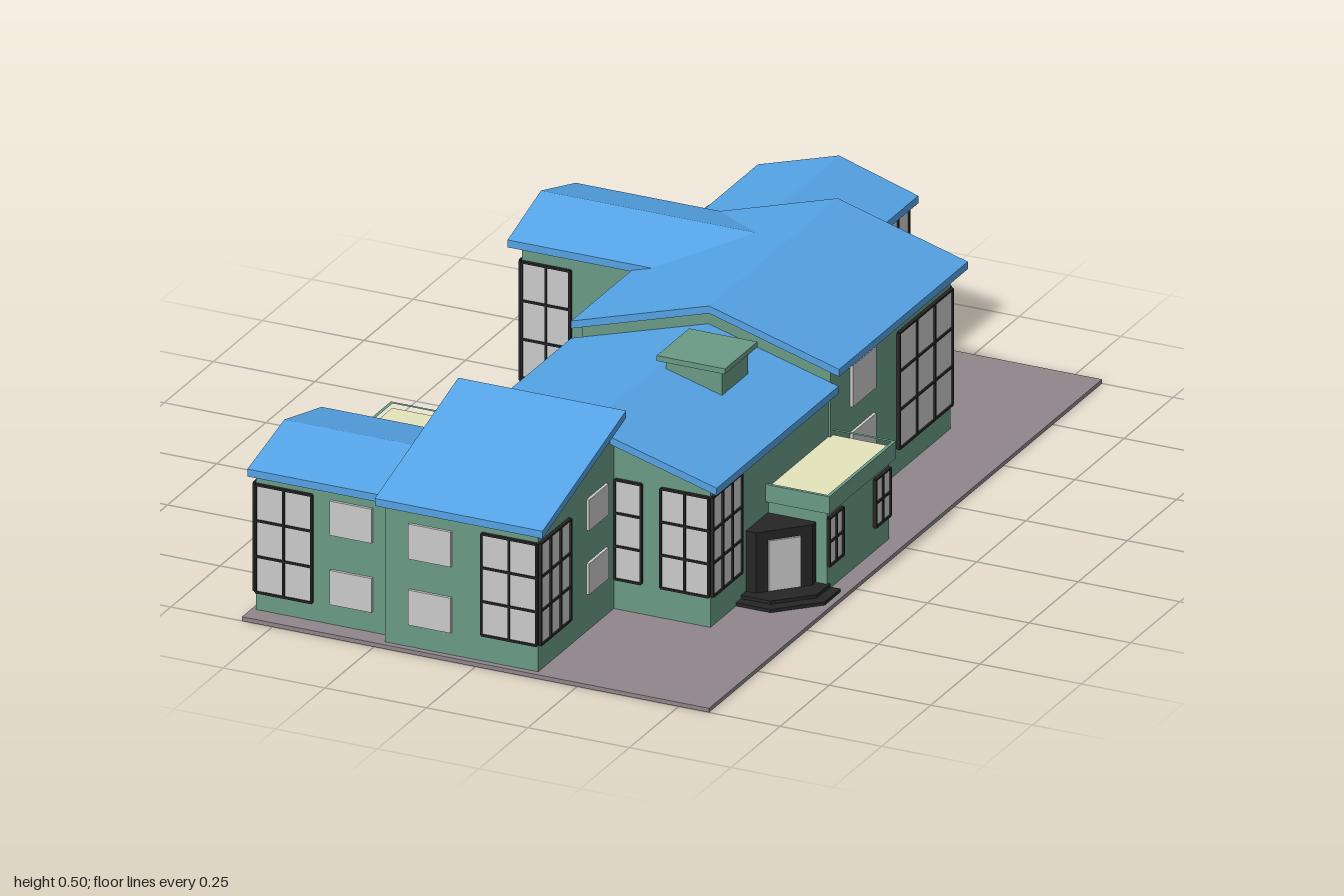
import * as THREE from 'three';

const mat = (color) => new THREE.MeshStandardMaterial({ color, flatShading: true });

export function createModel() {
  const model = new THREE.Group();
  const green = mat(0x6a9a86), blue = mat(0x55a3e6), dark = mat(0x262626);
  const paving = mat(0x8f868c), cream = mat(0xe4e4bc), grey = mat(0xcccccc);

  const add = (name, geometry, material, parent = model) => {
    const mesh = new THREE.Mesh(geometry, material);
    mesh.name = name;
    parent.add(mesh);
    return mesh;
  };
  // Box given by its limits
  const box = (name, x0, x1, y0, y1, z0, z1, material, parent) =>
    add(name, new THREE.BoxGeometry(x1 - x0, y1 - y0, z1 - z0)
      .translate((x0 + x1) / 2, (y0 + y1) / 2, (z0 + z1) / 2), material, parent);

  // Profile of [across, y] points swept along 'z' or 'x'
  const prism = (points, from, to, axis) => {
    const flip = axis === 'x' ? -1 : 1;
    const shape = new THREE.Shape(points.map(([u, y]) => new THREE.Vector2(u * flip, y)));
    const g = new THREE.ExtrudeGeometry(shape, { depth: to - from, bevelEnabled: false });
    g.translate(0, 0, from);
    return axis === 'x' ? g.rotateY(Math.PI / 2) : g;
  };
  // Flat plan of [x, z] points raised from y0 to y1, with an optional opening
  const slab = (name, plan, y0, y1, material, hole, parent) => {
    const path = (pts) => pts.map(([x, z]) => new THREE.Vector2(x, -z));
    const shape = new THREE.Shape(path(plan));
    if (hole) shape.holes.push(new THREE.Path(path(hole)));
    const g = new THREE.ExtrudeGeometry(shape, { depth: y1 - y0, bevelEnabled: false });
    return add(name, g.rotateX(-Math.PI / 2).translate(0, y0, 0), material, parent);
  };
  const rect = (x0, x1, z0, z1) => [[x0, z0], [x1, z0], [x1, z1], [x0, z1]];

  // Block whose walls reach up to the underside of its pitched roof
  const T = 0.018;
  const house = (name, axis, top, from, to, [u0, u1, w0, w1]) => {
    const group = new THREE.Group();
    group.name = name;
    model.add(group);
    const under = (u) => {
      const i = top.length > 2 && u > top[1][0] ? 1 : 0;
      const [a, b] = [top[i], top[i + 1]];
      return a[1] + (b[1] - a[1]) * (u - a[0]) / (b[0] - a[0]) - T;
    };
    const inner = top.slice(1, -1).map(([u]) => u);
    const crown = [u0, ...inner, u1].map((u) => [u, under(u)]);
    add(name + 'Walls', prism([...crown, [u1, 0.01], [u0, 0.01]], w0, w1, axis), green, group);
    const lower = top.map(([u, y]) => [u, y - T]).reverse();
    return add(name + 'Roof', prism([...top, ...lower], from, to, axis), blue, group);
  };

  // Flat-roofed annex with a projecting parapet band
  const annex = (name, [x0, x1, z0, z1], height, roofMaterial) => {
    const group = new THREE.Group();
    group.name = name;
    model.add(group);
    box(name + 'Walls', x0 + 0.012, x1 - 0.012, 0.01, height - 0.02, z0 + 0.012, z1 - 0.012, green, group);
    slab(name + 'Parapet', rect(x0, x1, z0, z1), height - 0.042, height, green,
      rect(x0 + 0.008, x1 - 0.008, z0 + 0.008, z1 - 0.008), group);
    box(name + 'Roof', x0 + 0.006, x1 - 0.006, height - 0.03, height - 0.012, z0 + 0.006, z1 - 0.006, roofMaterial, group);
  };

  // Window on a wall facing +x, -x, +z or -z; a grid gets dark bars
  const turn = { '+z': 0, '+x': Math.PI / 2, '-z': Math.PI, '-x': -Math.PI / 2 };
  const pane = (face, plane, a0, a1, y0, y1, cols = 0, rows = 0) => {
    const group = new THREE.Group();
    group.name = cols ? 'griddedWindow' : 'smallWindow';
    const w = a1 - a0, h = y1 - y0, mid = (a0 + a1) / 2;
    const glass = cols ? 0.004 : 0.007, bar = 0.005;
    box('glass', -w / 2, w / 2, 0, h, -0.004, glass, grey, group);
    for (let i = 0; cols && i <= cols; i++) {
      const x = -w / 2 + (w * i) / cols;
      box('upright', x - bar / 2, x + bar / 2, 0, h, 0, 0.008, dark, group);
    }
    for (let j = 0; rows && j <= rows; j++) {
      const y = (h * j) / rows;
      box('crossbar', -w / 2, w / 2, y - bar / 2, y + bar / 2, 0, 0.008, dark, group);
    }
    group.rotation.y = turn[face];
    if (face[1] === 'z') group.position.set(mid, y0, plane);
    else group.position.set(plane, y0, mid);
    model.add(group);
  };
  // Upper and lower small windows
  const pair = (face, plane, a0, a1, low, high, h) => {
    for (const y of [low, high]) pane(face, plane, a0, a1, y, y + h);
  };

  box('ground', -0.575, 0.575, 0, 0.01, -1, 1, paving);

  // Main blocks
  house('frontBlock', 'x', [[0.575, 0.483], [1, 0.36]], -0.248, 0.165, [0.6, 0.985, -0.23, 0.147]);
  house('frontWing', 'x', [[0.59, 0.355], [0.78, 0.4], [0.968, 0.355]], -0.577, -0.235, [0.61, 0.95, -0.565, -0.22]);
  house('middleBlock', 'z', [[-0.248, 0.35], [0.09, 0.45], [0.41, 0.36]], 0, 0.62, [-0.23, 0.385, 0, 0.6]);
  house('tallBlock', 'z', [[-0.24, 0.4], [0.1, 0.502], [0.42, 0.41]], -0.637, 0.018, [-0.22, 0.39, -0.612, 0]);
  house('rearBlock', 'z', [[-0.27, 0.37], [-0.07, 0.43], [0.125, 0.37]], -0.995, -0.6, [-0.25, 0.107, -0.975, -0.6]);
  const wingRoof = house('rearWing', 'x', [[-0.637, 0.415], [-0.46, 0.467], [-0.29, 0.415]], -0.545, 0,
    [-0.612, -0.312, -0.52, -0.2]);

  // Trim the inner end of the wing roof to the slope it runs into
  const p = wingRoof.geometry.attributes.position;
  for (let i = 0; i < p.count; i++) {
    if (p.getX(i) > -0.1) p.setX(i, 0.11 + (p.getY(i) - 0.502) / 0.3);
  }
  wingRoof.geometry.computeVertexNormals();

  // Annexes
  annex('leftAnnex', [-0.555, -0.225, 0.283, 0.615], 0.25, cream);
  annex('rearAnnex', [-0.39, -0.24, -0.992, -0.6], 0.25, grey);
  annex('porchAnnex', [0.375, 0.542, -0.02, 0.32], 0.245, cream);

  // Roof lantern
  box('lanternBody', 0.107, 0.245, 0.38, 0.468, 0.12, 0.252, green);
  box('lanternCap', 0.092, 0.26, 0.467, 0.48, 0.103, 0.268, green);

  // Corner entrance: steps, angled vestibule and door
  for (let i = 0; i < 2; i++) {
    const s = 0.025 * i;
    slab('entranceStep', [[0.38, 0.3], [0.56 - s, 0.3], [0.56 - s, 0.38 - s / 2], [0.47 - s / 2, 0.47 - s], [0.38, 0.47 - s]],
      0.01 + 0.008 * i, 0.018 + 0.008 * i, dark);
  }
  slab('vestibule', [[0.38, 0.3], [0.503, 0.3], [0.503, 0.325], [0.41, 0.42], [0.38, 0.42]], 0.02, 0.172, dark);
  const door = box('door', -0.038, 0.038, 0.028, 0.15, -0.003, 0.005, grey);
  door.position.set(0.4565, 0, 0.3725);
  door.rotation.y = Math.PI / 4;

  // Front windows
  pane('+z', 0.95, -0.563, -0.425, 0.055, 0.315, 2, 3);
  pair('+z', 0.95, -0.38, -0.277, 0.06, 0.228, 0.083);
  pair('+z', 0.985, -0.17, -0.065, 0.065, 0.225, 0.085);
  pane('+z', 0.985, 0.01, 0.145, 0.075, 0.32, 2, 3);
  pane('+z', 0.6, 0.152, 0.216, 0.085, 0.325, 1, 3);
  pane('+z', 0.6, 0.265, 0.383, 0.085, 0.325, 2, 3);
  pane('+z', -0.312, -0.518, -0.4, 0.08, 0.36, 2, 3);

  // Right-hand side windows
  pane('+x', 0.147, 0.83, 0.983, 0.075, 0.32, 3, 3);
  pair('+x', 0.147, 0.64, 0.74, 0.1, 0.255, 0.075);
  pane('+x', 0.385, 0.45, 0.598, 0.085, 0.325, 3, 3);
  pane('+x', 0.53, 0.235, 0.306, 0.07, 0.185, 2, 2);
  pane('+x', 0.53, -0.005, 0.07, 0.07, 0.185, 2, 2);
  pair('+x', 0.39, -0.22, -0.1, 0.105, 0.267, 0.1);
  pane('+x', 0.39, -0.61, -0.34, 0.07, 0.35, 3, 3);
  pair('+x', 0.107, -0.75, -0.66, 0.1, 0.25, 0.077);
  pane('+x', 0.107, -0.973, -0.805, 0.045, 0.345, 3, 3);

  // Rear windows
  pane('-z', -0.975, -0.02, 0.105, 0.045, 0.345, 2, 3);
  pair('-z', -0.975, -0.18, -0.09, 0.08, 0.25, 0.08);
  pane('-z', -0.98, -0.35, -0.27, 0.08, 0.16);
  pane('-z', -0.612, 0.25, 0.388, 0.07, 0.35, 2, 3);
  pane('-z', -0.612, -0.518, -0.385, 0.07, 0.36, 2, 3);
  pane('-z', 0.295, -0.49, -0.4, 0.08, 0.17);
  pane('-z', 0.61, -0.46, -0.36, 0.26, 0.32);

  // Left-hand side windows
  pane('-x', -0.565, 0.78, 0.948, 0.055, 0.315, 3, 3);
  pair('-x', -0.565, 0.64, 0.72, 0.085, 0.235, 0.075);
  pane('-x', -0.543, 0.37, 0.48, 0.08, 0.17);
  pane('-x', -0.52, -0.61, -0.53, 0.07, 0.36, 1, 3);
  pane('-x', -0.52, -0.43, -0.314, 0.07, 0.36, 2, 3);
  pair('-x', -0.22, -0.22, -0.1, 0.105, 0.267, 0.09);
  pair('-x', -0.23, 0.08, 0.2, 0.085, 0.23, 0.085);
  pair('-x', -0.378, -0.94, -0.85, 0.08, 0.08, 0.08);
  pane('-x', -0.378, -0.76, -0.67, 0.08, 0.16);
  pane('-x', -0.25, -0.85, -0.75, 0.26, 0.33);

  return model;
}
